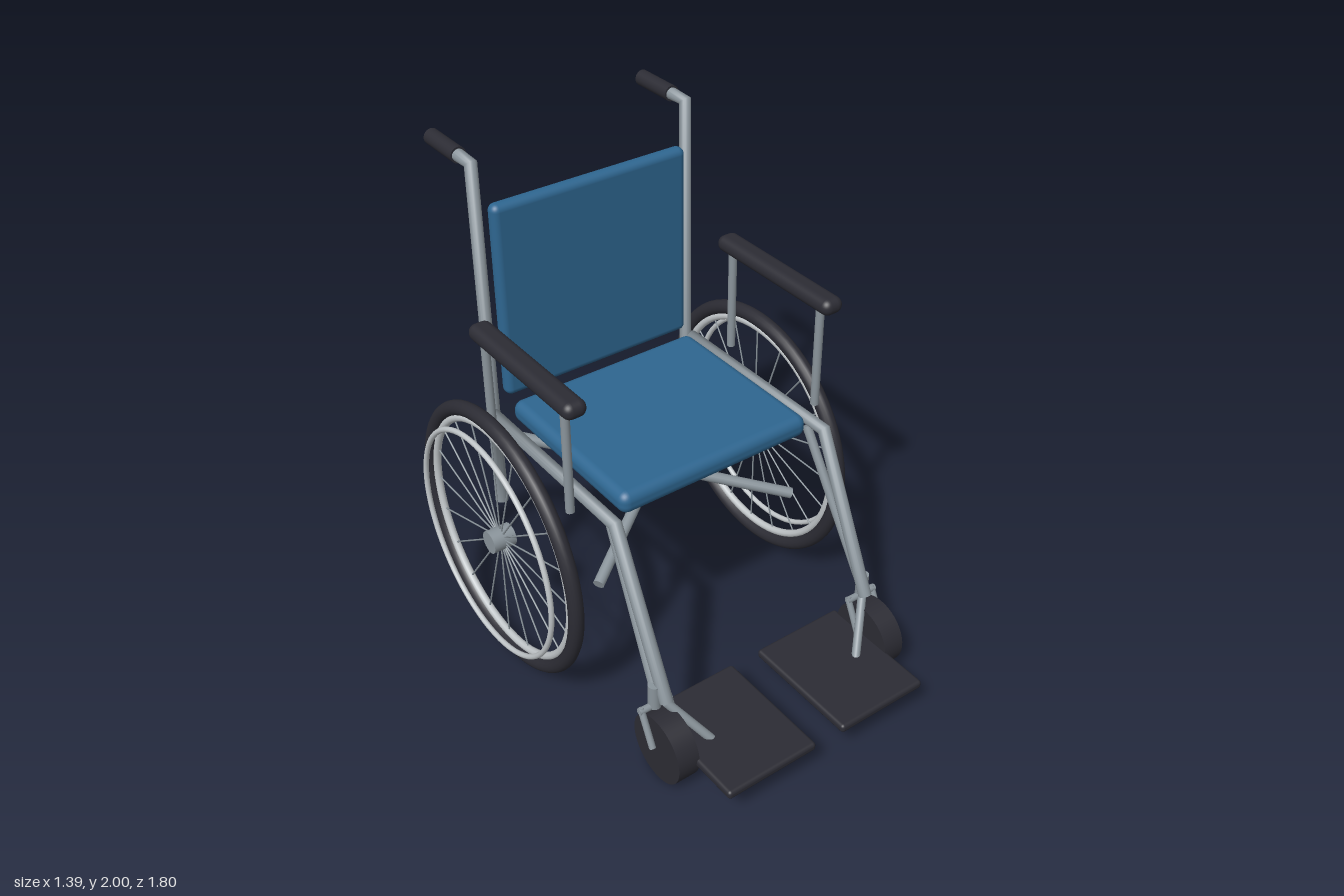
import * as THREE from 'three';
import { RoundedBoxGeometry } from 'three/addons/geometries/RoundedBoxGeometry.js';

const paint = (name, color) => {
  const m = new THREE.MeshStandardMaterial({ color });
  m.name = name;
  return m;
};
const V = (x, y, z) => new THREE.Vector3(x, y, z);

// Polyline whose corners are mitred with the averaged direction
class BentPath extends THREE.Curve {
  constructor(points) { super(); this.points = points; }
  getPoint(t) {
    const n = this.points.length - 1, i = Math.min(Math.floor(t * n + 1e-6), n - 1);
    return this.points[i].clone().lerp(this.points[i + 1], t * n - i);
  }
  getPointAt(t) { return this.getPoint(t); }
  getTangentAt(t) {
    const p = this.points, n = p.length - 1, k = Math.round(t * n);
    const dir = new THREE.Vector3();
    if (k > 0) dir.add(p[k].clone().sub(p[k - 1]).normalize());
    if (k < n) dir.add(p[k + 1].clone().sub(p[k]).normalize());
    return dir.normalize();
  }
}

export function createModel() {
  const metal = paint('frame metal', 0x8a949b);
  const bright = paint('bright rim metal', 0xc2c7ca);
  const rubber = paint('black rubber', 0x2c2c34);
  const fabric = paint('blue upholstery', 0x2e6690);
  const model = new THREE.Group();
  model.name = 'wheelchair';

  const add = (parent, name, geometry, material, x = 0, y = 0, z = 0) => {
    const mesh = new THREE.Mesh(geometry, material);
    mesh.name = name;
    mesh.position.set(x, y, z);
    parent.add(mesh);
    return mesh;
  };
  // Straight round bar between two points
  const rod = (parent, name, a, b, r, material = metal, sides = 16) => {
    const dir = b.clone().sub(a), mid = a.clone().add(b).multiplyScalar(0.5);
    const mesh = add(parent, name, new THREE.CylinderGeometry(r, r, dir.length(), sides), material, mid.x, mid.y, mid.z);
    mesh.quaternion.setFromUnitVectors(V(0, 1, 0), dir.normalize());
    return mesh;
  };
  // Bent tube with flat end caps
  const bentTube = (parent, name, points, r) => {
    add(parent, name, new THREE.TubeGeometry(new BentPath(points), points.length - 1, r, 16), metal);
    const n = points.length - 1;
    [[0, 1], [n, n - 1]].forEach(([end, inner]) => {
      const p = points[end];
      const cap = add(parent, name + 'Cap', new THREE.CircleGeometry(r, 16), metal, p.x, p.y, p.z);
      cap.quaternion.setFromUnitVectors(V(0, 0, 1), p.clone().sub(points[inner]).normalize());
    });
  };
  const pad = (parent, name, w, h, d, r, material, x, y, z) =>
    add(parent, name, new RoundedBoxGeometry(w, h, d, 4, r), material, x, y, z);

  // Upholstery
  pad(model, 'seat', 0.84, 0.09, 0.755, 0.038, fabric, 0, 0.967, -0.163);
  pad(model, 'backrest', 0.84, 0.8, 0.06, 0.028, fabric, 0, 1.413, -0.583);

  for (const s of [1, -1]) {
    const side = new THREE.Group();
    side.name = s > 0 ? 'leftSide' : 'rightSide';
    model.add(side);

    // Side frame, back post and push handle
    bentTube(side, 'sideFrame', [V(s * 0.475, 0.325, 0.54), V(s * 0.475, 0.945, 0.245),
      V(s * 0.475, 0.945, -0.58), V(s * 0.475, 0.535, -0.578)], 0.026);
    bentTube(side, 'backPost', [V(s * 0.458, 0.535, -0.61), V(s * 0.458, 1.97, -0.615),
      V(s * 0.458, 1.97, -0.72)], 0.025);
    rod(side, 'handGrip', V(s * 0.458, 1.97, -0.7), V(s * 0.458, 1.97, -0.895), 0.031, rubber, 24);
    rod(side, 'casterStrut', V(s * 0.455, 0.93, 0.17), V(s * 0.49, 0.36, 0.485), 0.018);

    // Diagonal folding brace
    rod(side, 'crossBrace', V(s * 0.46, 0.895, -0.485), V(-s * 0.46, 0.555, 0.095), 0.022);

    // Armrest
    pad(side, 'armPad', 0.092, 0.066, 0.665, 0.032, rubber, s * 0.558, 1.41, -0.157);
    for (const z of [0.09, -0.435])
      rod(side, 'armPost', V(s * 0.56, 0.945, z), V(s * 0.56, 1.4, z), 0.017);

    // Rear wheel, turned so its axle lies along x
    const wheel = new THREE.Group();
    wheel.name = 'rearWheel';
    wheel.position.set(s * 0.62, 0.565, -0.34);
    wheel.rotation.y = s * Math.PI / 2;
    side.add(wheel);
    add(wheel, 'tyre', new THREE.TorusGeometry(0.53, 0.03, 14, 72), rubber);
    add(wheel, 'rim', new THREE.TorusGeometry(0.49, 0.016, 10, 72), bright);
    add(wheel, 'pushRim', new THREE.TorusGeometry(0.465, 0.011, 10, 72), bright, 0, 0, 0.064);
    rod(wheel, 'hub', V(0, 0, -0.045), V(0, 0, 0.05), 0.046, metal, 24);
    for (let i = 0; i < 20; i++) {
      const a = i * Math.PI / 10, c = Math.cos(a), d = Math.sin(a);
      rod(wheel, 'spoke', V(c * 0.03, d * 0.03, 0), V(c * 0.485, d * 0.485, 0), 0.0035, metal, 6);
    }

    // Front caster with fork
    rod(side, 'casterWheel', V(s * 0.449, 0.142, 0.565), V(s * 0.539, 0.142, 0.565), 0.14, rubber, 40);
    rod(side, 'casterStem', V(s * 0.497, 0.285, 0.497), V(s * 0.497, 0.39, 0.497), 0.025);
    rod(side, 'forkCrown', V(s * 0.425, 0.29, 0.497), V(s * 0.565, 0.29, 0.497), 0.014);
    for (const x of [0.433, 0.554])
      rod(side, 'forkLeg', V(s * x, 0.3, 0.492), V(s * x, 0.155, 0.562), 0.013);

    // Footrest
    rod(side, 'footHanger', V(s * 0.47, 0.31, 0.53), V(s * 0.35, 0.145, 0.645), 0.017);
    pad(side, 'footplate', 0.4, 0.036, 0.502, 0.014, rubber, s * 0.262, 0.138, 0.645);
  }
  return model;
}
